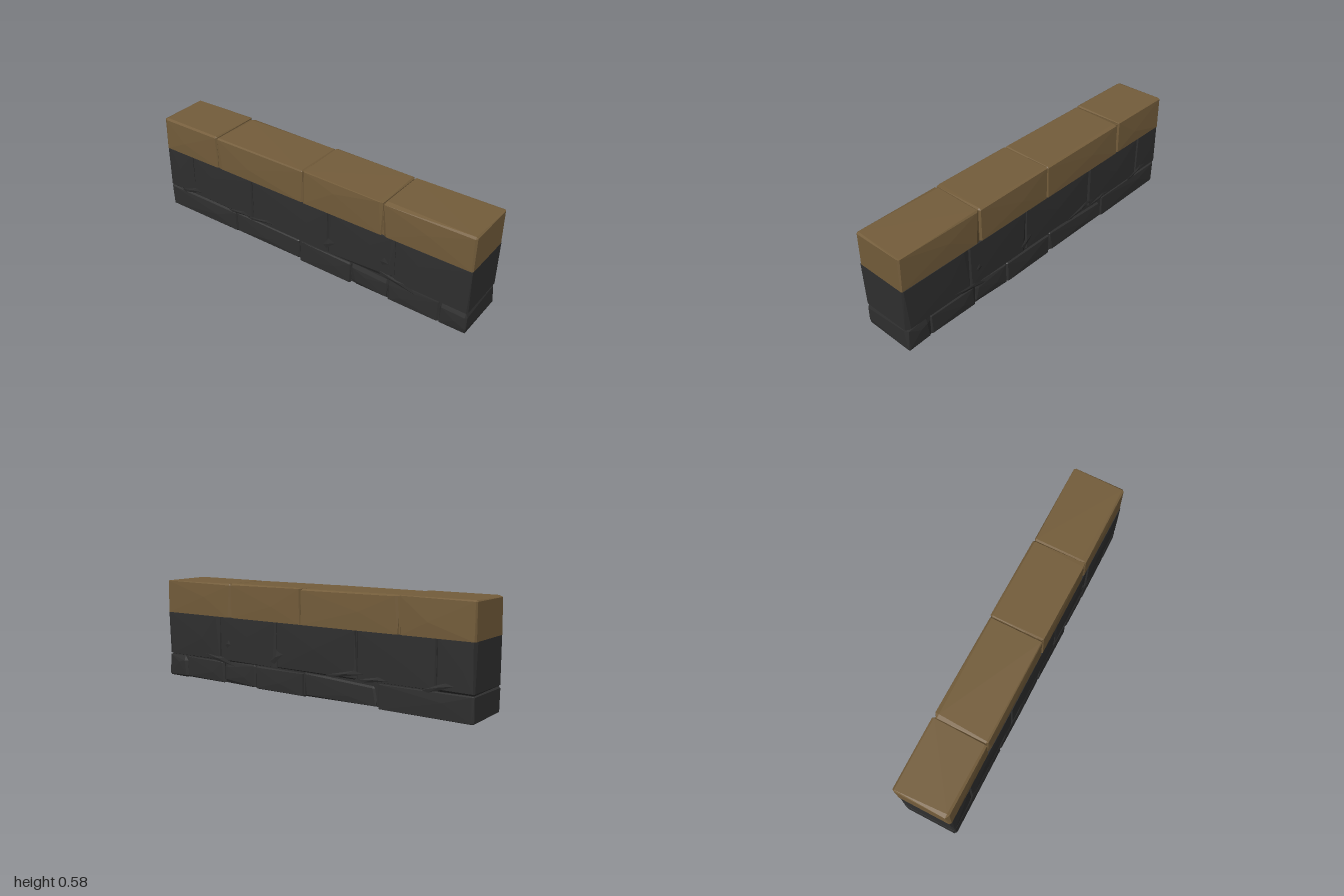
import * as THREE from 'three';
import { ConvexGeometry } from 'three/addons/geometries/ConvexGeometry.js';

// Small seeded generator for the chiselled irregularities
function makeRandom(seed) {
  return () => {
    seed = (seed * 16807) % 2147483647;
    return seed / 2147483647;
  };
}

export function createModel() {
  const rand = makeRandom(4711);
  const range = (a, b) => a + (b - a) * rand();
  const brown = new THREE.MeshStandardMaterial({ color: 0x745d3b });
  brown.name = 'brown coping stone';
  const dark = new THREE.MeshStandardMaterial({ color: 0x2f2f2f });
  dark.name = 'dark wall stone';
  const wall = new THREE.Group();
  wall.name = 'stoneWall';
  const HALF = 0.155;

  // Rough block: three points per corner make bevels, extra face points make gentle facets
  function stone(name, x0, x1, y0, y1, material, joint) {
    const pts = [];
    const add = (x, y, z) => pts.push(new THREE.Vector3(x, y, z));
    const bevel = () => (rand() < 0.15 ? range(0.02, 0.035) : range(0.004, 0.013));
    for (const sx of [-1, 1]) for (const sy of [-1, 1]) for (const sz of [-1, 1]) {
      const x = sx < 0 ? x0 : x1;
      const y = sy < 0 ? y0 : y1;
      const z = sz * (HALF - range(0.001, 0.005));
      const bx = sx * bevel(), bz = sz * bevel();
      const by = sy === joint ? 0 : sy * bevel();
      add(x, y - by, z - bz);
      add(x - bx, y - (sy === joint ? 0 : sy * range(0, 0.005)), z - bz);
      add(x - bx, y - by, z);
    }
    // Slight swell on front and back
    for (const sz of [-1, 1]) {
      add(x0 + (x1 - x0) * range(0.25, 0.75), y0 + (y1 - y0) * range(0.3, 0.7), sz * (HALF + range(0, 0.002)));
    }
    const mesh = new THREE.Mesh(new ConvexGeometry(pts), material);
    mesh.name = name;
    wall.add(mesh);
  }

  // Course of stones between consecutive seam positions
  function course(name, seams, y0, y1, material, joint, lift = 0) {
    for (let i = 0; i < seams.length - 1; i++) {
      const left = seams[i] + (i ? 0.001 : 0);
      const right = seams[i + 1] - (i < seams.length - 2 ? 0.001 : 0);
      const bottom = y0 + (lift ? range(0, lift) : 0);
      stone(name + (i + 1), left, right, bottom, y1, material, joint);
    }
  }
  course('baseStone', [-1, -0.48, -0.02, 0.32, 0.55, 0.85, 1], 0, 0.138, dark, 0, 0.012);
  course('middleStone', [-1, -0.8, -0.35, 0.17, 0.58, 1], 0.136, 0.39, dark, 1);
  course('copingStone', [-1, -0.595, 0.005, 0.5, 1], 0.39, 0.585, brown, -1);

  // Mortar core closing the seams
  function core(name, y0, y1, material) {
    const mesh = new THREE.Mesh(new THREE.BoxGeometry(1.96, y1 - y0, 0.285), material);
    mesh.position.y = (y0 + y1) / 2;
    mesh.name = name;
    wall.add(mesh);
  }
  core('lowerMortar', 0.014, 0.389, dark);
  core('upperMortar', 0.391, 0.572, brown);

  // Thin chipped wedges lying on the wall faces: [x, y, width, height, tilt]
  const chips = [
    [-0.82, 0.16, 0.2, 0.035, 0.25], [-0.28, 0.16, 0.24, 0.03, 0.15],
    [0.17, 0.2, 0.1, 0.05, 0.6], [0.6, 0.15, 0.26, 0.04, -0.2],
    [0.52, 0.24, 0.06, 0.06, 0.3], [-0.45, 0.15, 0.18, 0.03, 0.1],
  ];
  for (const side of [1, -1]) for (const [x, y, w, h, tilt] of chips) {
    const pts = [[-w / 2, 0, 0], [w / 2, -h / 4, 0], [w / 4, h / 2, 0], [-w / 3, -h / 2, 0], [0, 0, 0.006]]
      .map((p) => new THREE.Vector3(...p));
    const chip = new THREE.Mesh(new ConvexGeometry(pts), dark);
    chip.position.set(x, y, side * 0.152);
    chip.rotation.set(0, side > 0 ? 0 : Math.PI, tilt);
    chip.name = 'chippedFacet';
    wall.add(chip);
  }
  return wall;
}
